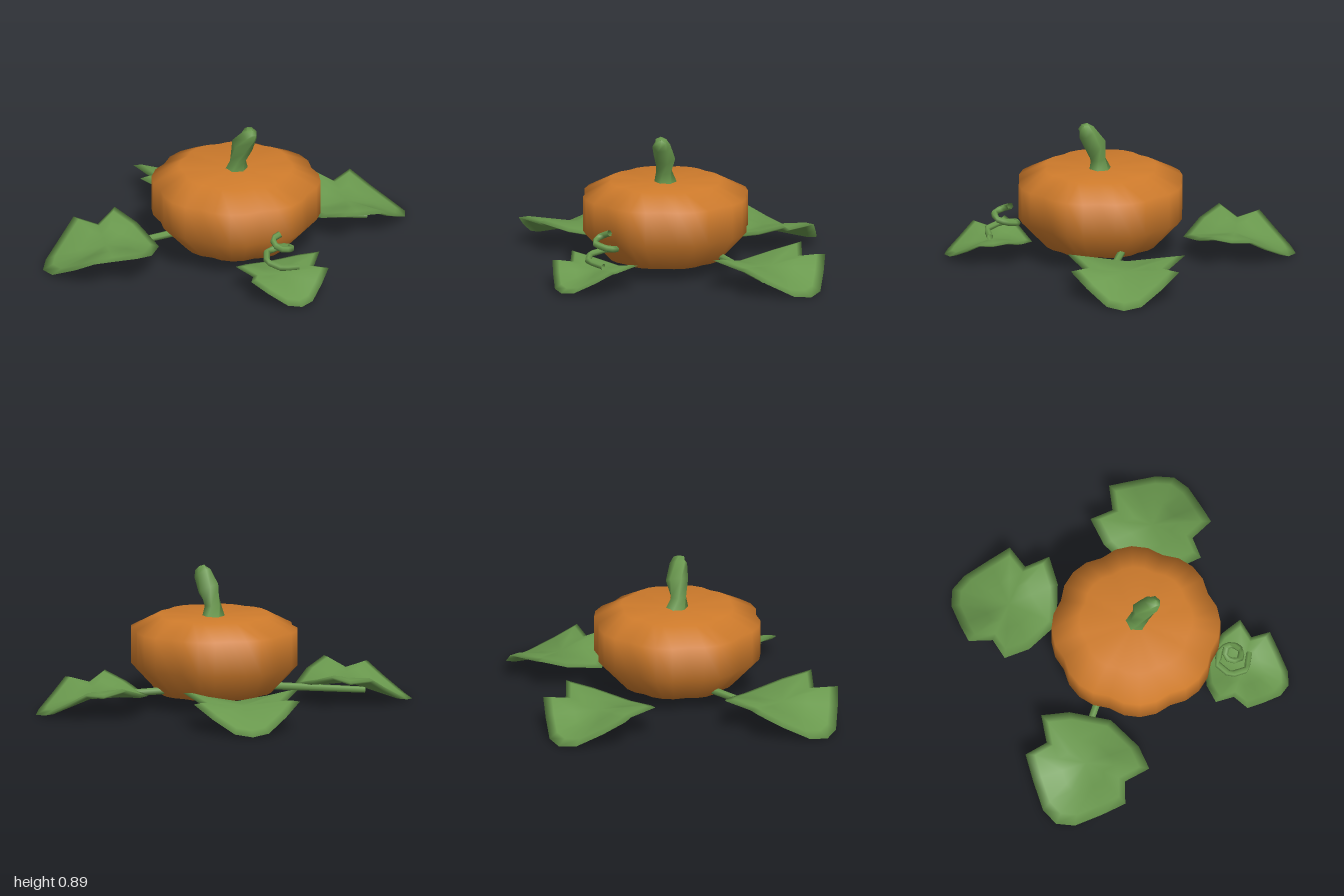
import * as THREE from 'three';
import { mergeVertices } from 'three/addons/utils/BufferGeometryUtils.js';

const material = (name, color, side = THREE.FrontSide) => {
  const m = new THREE.MeshStandardMaterial({ color, side });
  m.name = name;
  return m;
};

// Weld seams so the normals run smoothly all the way round
function smooth(geometry) {
  geometry.deleteAttribute('uv');
  geometry.deleteAttribute('normal');
  const welded = mergeVertices(geometry, 1e-4);
  welded.computeVertexNormals();
  return welded;
}

// Squat body with eight lobes, a groove at every fourth segment
function pumpkinGeometry() {
  const profile = [[0, 0.015], [0.367, 0.085], [0.541, 0.27], [0.541, 0.495], [0.365, 0.585], [0, 0.572]];
  const lobe = [0.94, 0.985, 1, 0.985];
  const g = new THREE.LatheGeometry(profile.map(p => new THREE.Vector2(...p)), 32);
  const pos = g.attributes.position;
  for (let i = 0; i < pos.count; i++) {
    const segment = Math.round(Math.atan2(pos.getX(i), pos.getZ(i)) / (Math.PI / 16)) + 32;
    const k = lobe[segment % 4];
    pos.setX(i, pos.getX(i) * k);
    pos.setZ(i, pos.getZ(i) * k);
  }
  return smooth(g);
}

// Six-sided stalk: each ring has a centre, radius and lean, and twists on
function stalkGeometry() {
  const rings = [ // x, y, z, radius, lean
    [0.093, 0.56, 0.038, 0.076, 0],
    [0.107, 0.64, 0.05, 0.055, 0.1],
    [0.137, 0.745, 0.045, 0.072, 0.5],
    [0.195, 0.835, 0.062, 0.058, 0.65],
    [0.216, 0.868, 0.065, 0.04, 0.65],
    [0.222, 0.878, 0.065, 0.002, 0.65],
  ];
  const g = new THREE.CylinderGeometry(1, 1, 1, 6, rings.length - 1, true);
  const pos = g.attributes.position;
  const v = new THREE.Vector3();
  for (let i = 0; i < pos.count; i++) {
    const row = Math.round((pos.getY(i) + 0.5) * (rings.length - 1));
    const [x, y, z, r, lean] = rings[row];
    v.set(pos.getX(i) * r, 0, pos.getZ(i) * r);
    v.applyAxisAngle(new THREE.Vector3(0, 1, 0), row * 0.4);
    v.applyAxisAngle(new THREE.Vector3(0, 0, 1), -lean);
    pos.setXYZ(i, v.x + x, v.y + y, v.z + z);
  }
  return smooth(g);
}

// Notched leaf: half outline as [outward, sideways, height], mirrored. An upper
// and a lower skin share the rim, so the shading rolls over the edge.
function leafGeometry() {
  const half = [
    [-0.345, 0, 0.1], [-0.25, 0.25, 0.16], [-0.13, 0.39, 0.215], [0, 0.283, 0.155],
    [0.143, 0.36, 0.185], [0.25, 0.25, 0.1], [0.37, 0.115, 0.015], [0.41, 0, 0],
  ];
  const rim = [...half, ...half.slice(1, -1).reverse().map(([u, v, h]) => [u, -v, h])];
  const n = rim.length, middle = 0.125;
  const points = rim.flatMap(([u, v, h]) => [u, h, v]);
  const index = [];
  for (const sign of [1, -1]) {
    const triangle = (a, b, c) => index.push(...(sign > 0 ? [a, b, c] : [a, c, b]));
    let outer = 0;
    for (const s of [0.84, 0.45]) {
      const inner = points.length / 3;
      for (const [u, v, h] of rim)
        points.push(u * s, middle + (h - middle) * s + sign * 0.015, v * s);
      for (let i = 0; i < n; i++) {
        const j = (i + 1) % n;
        triangle(outer + i, outer + j, inner + j);
        triangle(outer + i, inner + j, inner + i);
      }
      outer = inner;
    }
    const centre = points.length / 3;
    points.push(0, middle + sign * 0.015, 0);
    for (let i = 0; i < n; i++) triangle(outer + i, outer + (i + 1) % n, centre);
  }
  const g = new THREE.BufferGeometry();
  g.setAttribute('position', new THREE.Float32BufferAttribute(points, 3));
  g.setIndex(index);
  g.computeVertexNormals();
  return g;
}

// Angular rising spiral that tightens towards its top
function tendrilGeometry() {
  const path = new THREE.CurvePath();
  const points = [];
  for (let k = 0; k <= 10; k++) {
    const a = k * Math.PI / 3, r = 0.125 - k * 0.0085;
    points.push(new THREE.Vector3(0.59 + r * Math.cos(a), 0.165 + k * 0.0185, 0.41 + r * Math.sin(a)));
  }
  for (let k = 0; k < 10; k++) path.add(new THREE.LineCurve3(points[k], points[k + 1]));
  return new THREE.TubeGeometry(path, 20, 0.021, 6);
}

export function createModel() {
  const orange = material('pumpkin orange', 0xd07c2c);
  const green = material('leaf green', 0x6a994e, THREE.DoubleSide);
  const model = new THREE.Group();
  model.name = 'pumpkin';

  const add = (name, geometry, mat) => {
    const mesh = new THREE.Mesh(geometry, mat);
    mesh.name = name;
    model.add(mesh);
    return mesh;
  };

  add('body', pumpkinGeometry(), orange).position.set(0.09, 0, 0.04);
  add('stalk', stalkGeometry(), green);
  add('tendril', tendrilGeometry(), green);

  // Leaves: centre x, z, outward direction x, z, scale, lift
  const leaf = leafGeometry();
  const leaves = [
    ['frontRightLeaf', -0.545, 0.63, -0.8, 0.6, 1, 0.005],
    ['backRightLeaf', -0.525, -0.555, -0.67, -0.74, 0.955, 0.01],
    ['backLeftLeaf', 0.535, -0.65, 0.717, -0.697, 0.965, 0.005],
    ['frontLeftLeaf', 0.64, 0.47, 0.756, 0.655, 0.745, 0.025],
  ];
  for (const [name, x, z, dx, dz, scale, lift] of leaves) {
    const mesh = add(name, leaf, green);
    mesh.position.set(x, lift, z);
    mesh.rotation.y = Math.atan2(-dz, dx);
    mesh.scale.setScalar(scale);
  }

  // Two vines running from under the body to below the larger leaves
  const vines = [
    ['frontVine', [-0.2, 0.13, 0.18], [-0.66, 0.075, 0.65]],
    ['backVine', [0.15, 0.135, -0.25], [0.7, 0.085, -0.615]],
  ];
  for (const [name, from, to] of vines) {
    const start = new THREE.Vector3(...from), end = new THREE.Vector3(...to);
    const vine = add(name, new THREE.CylinderGeometry(0.02, 0.025, start.distanceTo(end), 6), green);
    vine.position.copy(start).lerp(end, 0.5);
    vine.quaternion.setFromUnitVectors(new THREE.Vector3(0, 1, 0), end.sub(start).normalize());
  }
  return model;
}
